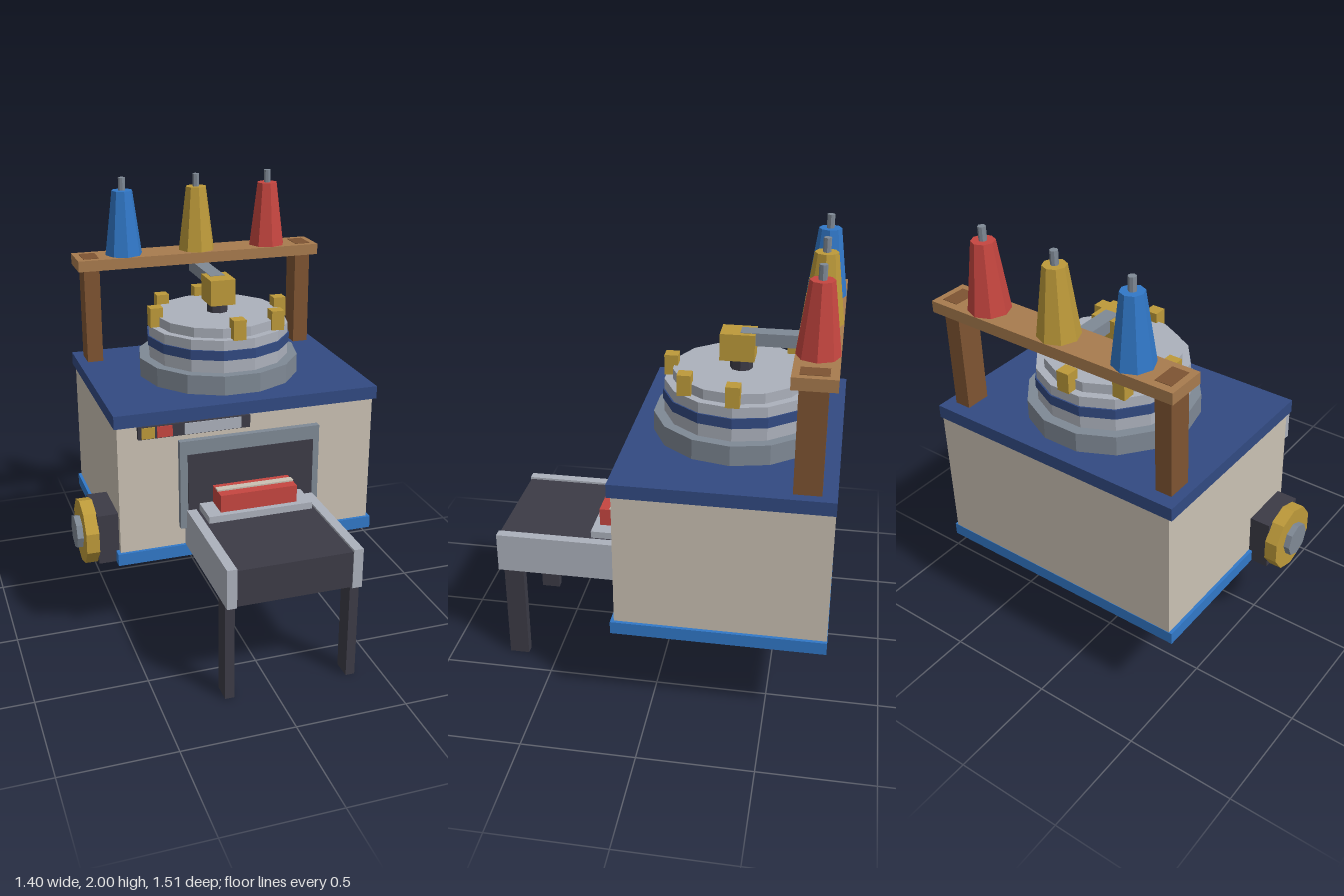
import * as THREE from 'three';

const mat = (name, color) => {
  const m = new THREE.MeshStandardMaterial({ color });
  m.name = name;
  m.flatShading = true;
  return m;
};

export function createModel() {
  const model = new THREE.Group();
  model.name = 'furnaceMachine';

  const cream = mat('cream', 0xcac1b3);
  const navy = mat('navy', 0x324a82);
  const blue = mat('blue', 0x3178c8);
  const gold = mat('gold', 0xbd9a3a);
  const red = mat('red', 0xc64640);
  const brown = mat('darkWood', 0x7e5432);
  const tan = mat('lightWood', 0xa87b4e);
  const light = mat('lightGrey', 0xacb1bc);
  const grey = mat('steelGrey', 0x7f8995);
  const dark = mat('charcoal', 0x3c3b46);

  const add = (name, geo, material, x, y, z) => {
    const mesh = new THREE.Mesh(geo, material);
    mesh.name = name;
    mesh.position.set(x, y, z);
    model.add(mesh);
    return mesh;
  };
  // Box given by its limits on each axis
  const box = (name, m, x0, x1, y0, y1, z0, z1) =>
    add(name, new THREE.BoxGeometry(x1 - x0, y1 - y0, z1 - z0), m,
      (x0 + x1) / 2, (y0 + y1) / 2, (z0 + z1) / 2);
  // Upright faceted cylinder with a corner on +x
  const drum = (name, m, x, z, y0, y1, rTop, rBottom, sides) =>
    add(name, new THREE.CylinderGeometry(rTop, rBottom, y1 - y0, sides, 1, false, Math.PI / 2),
      m, x, (y0 + y1) / 2, z);
  // Faceted disc lying along x
  const disc = (name, m, x0, x1, y, z, r, sides) => {
    const geo = new THREE.CylinderGeometry(r, r, x1 - x0, sides, 1, false, Math.PI / 2);
    geo.rotateZ(Math.PI / 2);
    return add(name, geo, m, (x0 + x1) / 2, y, z);
  };

  // Housing
  box('housing', cream, -0.525, 0.685, 0.398, 1.07, -0.755, 0.15);
  box('basePlate', blue, -0.54, 0.70, 0.40, 0.457, -0.757, 0.165);
  box('topPlate', navy, -0.54, 0.70, 1.065, 1.125, -0.757, 0.165);

  // Round pressure vessel on top
  const cx = 0.08, cz = -0.305;
  drum('vesselBase', grey, cx, cz, 1.125, 1.215, 0.38, 0.38, 14);
  drum('vesselWall', light, cx, cz, 1.215, 1.367, 0.333, 0.333, 14);
  drum('vesselBand', navy, cx, cz, 1.275, 1.32, 0.34, 0.34, 14);
  drum('vesselLid', light, cx, cz, 1.367, 1.412, 0.297, 0.297, 14);
  for (const step of [0, 1, 2, 4, 5, 6]) {
    const a = step * Math.PI / 4;
    const x = cx + 0.303 * Math.cos(a), z = cz + 0.303 * Math.sin(a);
    box('lidBolt', gold, x - 0.03, x + 0.03, 1.365, 1.457, z - 0.03, z + 0.03);
  }

  // Valve and outlet pipe
  drum('valveNeck', dark, cx, cz, 1.41, 1.465, 0.05, 0.05, 8);
  box('valveBlock', gold, 0.02, 0.14, 1.46, 1.58, -0.365, -0.215);
  box('outletPipe', grey, 0.045, 0.115, 1.525, 1.582, -0.65, -0.30);

  // Timber frame carrying the insulators
  for (const x of [-0.457, 0.617]) {
    box('framePost', brown, x - 0.038, x + 0.038, 1.125, 1.637, -0.695, -0.58);
  }
  box('frameBeam', tan, -0.525, 0.685, 1.583, 1.635, -0.73, -0.55);
  [[-0.285, blue], [0.08, gold], [0.445, red]].forEach(([x, m]) => {
    drum('insulator', m, x, -0.64, 1.635, 1.94, 0.05, 0.09, 8);
    drum('insulatorTip', grey, x, -0.64, 1.94, 2.0, 0.017, 0.017, 8);
  });

  // Control strip
  box('controlStrip', dark, -0.435, 0.08, 1.005, 1.063, 0.14, 0.172);
  box('goldButton', gold, -0.42, -0.36, 1.008, 1.06, 0.17, 0.176);
  box('redButton', red, -0.35, -0.28, 1.008, 1.06, 0.17, 0.176);
  box('displayPlate', light, -0.225, 0.037, 1.008, 1.06, 0.17, 0.176);

  // Furnace mouth
  box('mouthFrame', grey, -0.25, 0.412, 0.55, 0.975, 0.145, 0.18);
  box('mouthOpening', dark, -0.215, 0.382, 0.56, 0.91, 0.178, 0.184);

  // Feed table
  box('tableBed', dark, -0.18, 0.342, 0.462, 0.63, 0.15, 0.753);
  for (const x of [-0.2, 0.362]) {
    box('tableRail', light, x - 0.022, x + 0.022, 0.457, 0.64, 0.15, 0.757);
    box('tableLeg', dark, x - 0.021, x + 0.021, 0, 0.457, 0.64, 0.73);
  }
  box('tray', light, -0.163, 0.325, 0.635, 0.667, 0.17, 0.33);
  box('ingot', red, -0.1, 0.26, 0.667, 0.748, 0.175, 0.302);
  box('ingotStripe', cream, -0.1, 0.26, 0.747, 0.755, 0.222, 0.256);

  // Side hand wheel
  box('wheelMount', dark, -0.62, -0.52, 0.402, 0.64, -0.12, 0.12);
  disc('handWheel', gold, -0.677, -0.618, 0.52, 0, 0.15, 10);
  disc('wheelHub', grey, -0.705, -0.675, 0.52, 0, 0.077, 8);

  return model;
}
